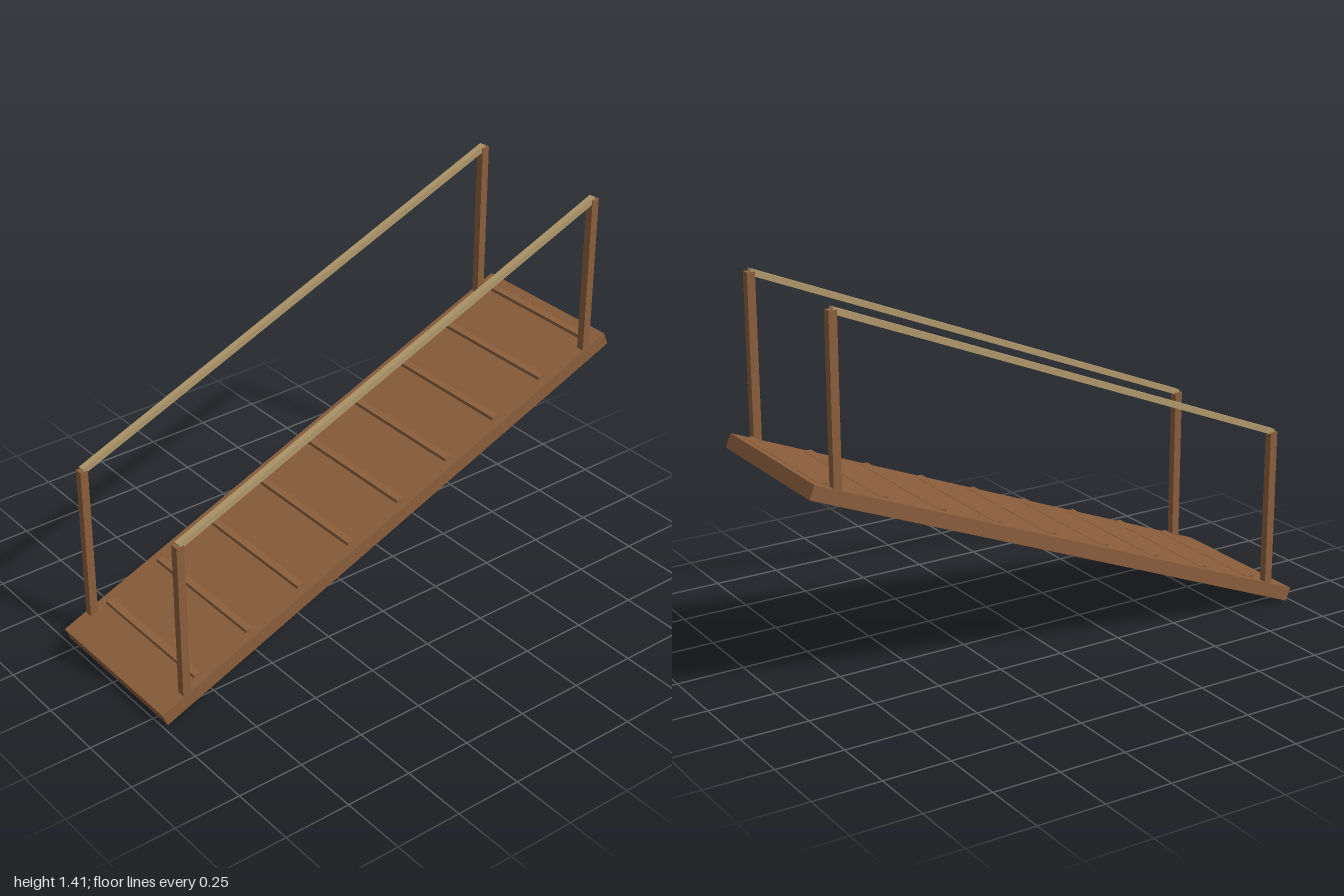
import * as THREE from 'three';

const SLOPE = Math.atan(0.402);   // tilt of the ramp
const MID_Y = 0.4225;             // height of the deck centre
const THICK = 0.052;

// Height of the deck's upper surface at x
const deckTop = (x) => MID_Y + x * Math.tan(SLOPE) + THICK / 2 / Math.cos(SLOPE);

export function createModel() {
  const model = new THREE.Group();
  model.name = 'gangway';

  const wood = new THREE.MeshStandardMaterial({ color: 0x8b5e3c });
  wood.name = 'brown wood';
  const rope = new THREE.MeshStandardMaterial({ color: 0xb0986a });
  rope.name = 'tan rail';

  const box = (name, material, size, position, tilt = 0) => {
    const mesh = new THREE.Mesh(new THREE.BoxGeometry(...size), material);
    mesh.name = name;
    mesh.position.set(...position);
    mesh.rotation.z = tilt;
    model.add(mesh);
  };

  // Sloping deck
  box('deck', wood, [2.134, THICK, 0.62], [0, MID_Y, 0], SLOPE);

  // Level cleats, sunk into the deck so only the lower edge stands out
  for (let i = 0; i < 9; i++) {
    const left = -0.845 + i * 0.22;
    box('cleat', wood, [0.03, 0.024, 0.55], [left + 0.015, deckTop(left) + 0.001, 0]);
  }

  // Posts and handrails on both sides
  for (const z of [-0.29, 0.29]) {
    for (const x of [-0.895, 0.895]) {
      const bottom = deckTop(x) - 0.02;
      const top = deckTop(x) + 0.592;
      box('post', wood, [0.03, top - bottom, 0.03], [x, (top + bottom) / 2, z]);
    }
    box('handrail', rope, [1.93, 0.022, 0.024], [0, 1.042, z], SLOPE);
  }

  return model;
}
